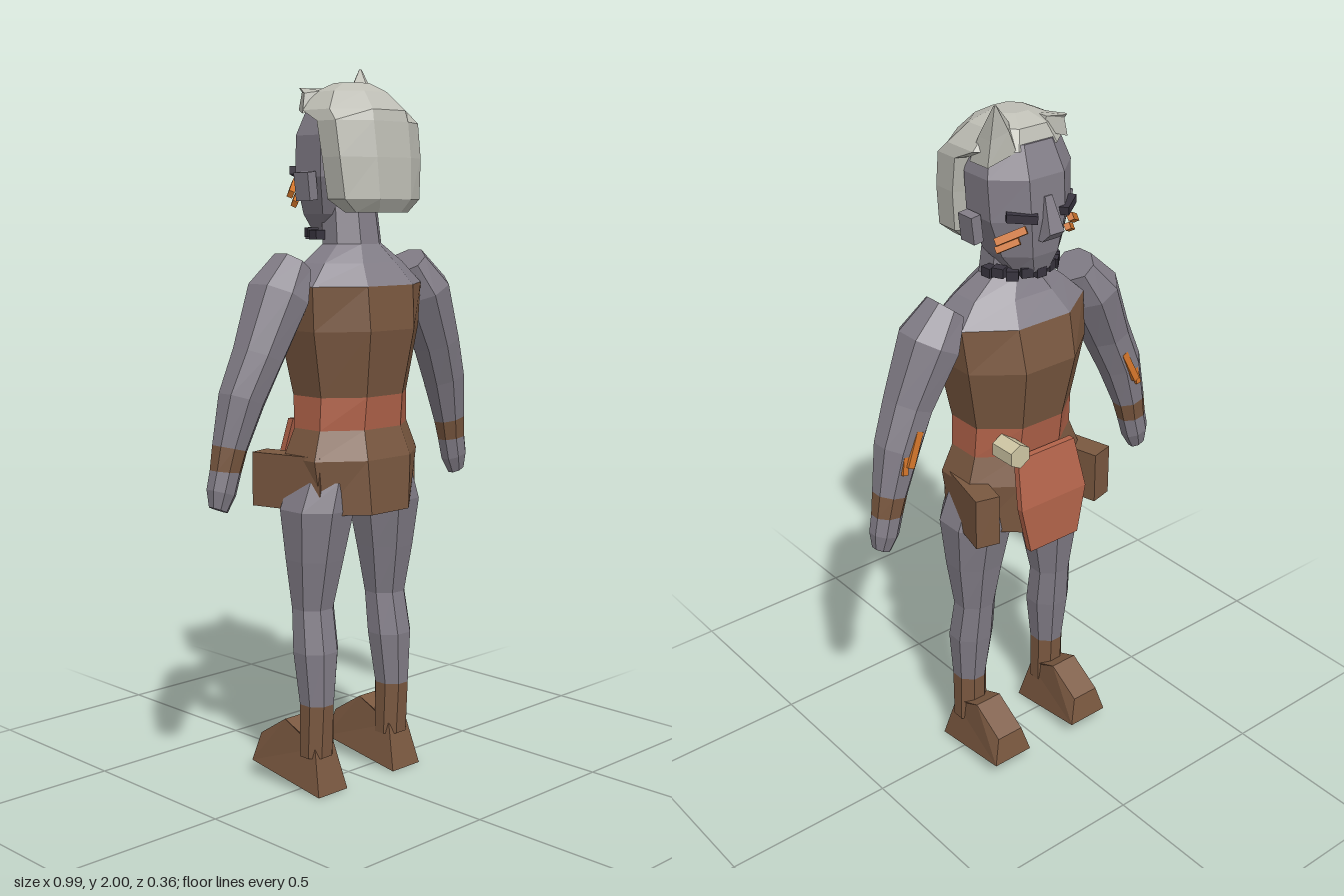
import * as THREE from 'three';

const mat = (name, color) => {
  const m = new THREE.MeshStandardMaterial({ color, flatShading: true });
  m.name = name;
  return m;
};

export function createModel() {
  const root = new THREE.Group();
  root.name = 'figure';
  const skin = mat('grey skin', 0x827d87);
  const hairMat = mat('pale hair', 0xbdbdb4);
  const brown = mat('brown leather', 0x7a5840);
  const rust = mat('rust cloth', 0xb2634a);
  const orange = mat('orange paint', 0xd0742a);
  const dark = mat('dark hair', 0x38343f);
  const cream = mat('cream', 0xcfc6a4);

  const add = (name, geo, material) => {
    const m = new THREE.Mesh(geo, material);
    m.name = name;
    root.add(m);
    return m;
  };

  // Skin a stack of rings, listed bottom to top: [x, y, z, rx, rz, tilt about z]
  const loft = (name, material, rings, n = 8) => {
    const pos = [], idx = [];
    for (const [x, y, z, rx, rz, t = 0] of rings) {
      for (let i = 0; i < n; i++) {
        const a = ((i + 0.5) / n) * Math.PI * 2, k = 1 / Math.cos(Math.PI / n);
        const px = rx * k * Math.cos(a);
        pos.push(x + px * Math.cos(t), y + px * Math.sin(t), z + rz * k * Math.sin(a));
      }
    }
    for (let r = 0; r < rings.length - 1; r++) {
      for (let i = 0; i < n; i++) {
        const j = (i + 1) % n, a = r * n + i, b = r * n + j;
        idx.push(a, a + n, b, b, a + n, b + n);
      }
    }
    const top = (rings.length - 1) * n;
    for (let i = 1; i < n - 1; i++) {
      idx.push(0, i, i + 1, top, top + i + 1, top + i);
    }
    const g = new THREE.BufferGeometry();
    g.setAttribute('position', new THREE.Float32BufferAttribute(pos, 3));
    g.setIndex(idx);
    g.computeVertexNormals();
    return add(name, g, material);
  };

  const box = (name, material, size, p, rot = [0, 0, 0]) => {
    const m = add(name, new THREE.BoxGeometry(...size), material);
    m.position.set(...p);
    m.rotation.set(...rot);
    return m;
  };

  // Torso: skirt, belt, jerkin, then bare shoulders and neck
  const hip = [0, 1.02, 0.012, 0.17, 0.122];
  const waist = [0, 1.11, 0.01, 0.167, 0.132];
  const chest = [0, 1.41, 0.018, 0.21, 0.145];
  loft('skirt', brown, [[0, 0.79, 0.012, 0.175, 0.153], [0, 0.94, 0.012, 0.2, 0.148], hip]);
  loft('belt', rust, [hip, waist]);
  loft('jerkin', brown, [waist, [0, 1.29, 0.008, 0.203, 0.163], chest]);
  loft('shouldersAndNeck', skin, [chest, [0, 1.47, 0.02, 0.15, 0.1],
    [0, 1.52, 0.015, 0.085, 0.07], [0, 1.62, 0.005, 0.08, 0.065]]);

  // Hanging cloth: a plate bent outwards over the hips
  const cloth = new THREE.BoxGeometry(1, 0.28, 0.02, 1, 2, 1);
  const cp = cloth.attributes.position;
  for (let i = 0; i < cp.count; i++) {
    const y = cp.getY(i);
    const [half, z] = y > 0.07 ? [0.2, -0.13] : y > -0.07 ? [0.23, -0.165] : [0.17, -0.168];
    cp.setXYZ(i, cp.getX(i) * half, y + 0.89, cp.getZ(i) + z);
  }
  cloth.computeVertexNormals();
  add('frontCloth', cloth, rust);

  // Belt toggle
  const toggle = add('beltToggle', new THREE.CylinderGeometry(0.036, 0.036, 0.08, 6), cream);
  toggle.rotation.x = Math.PI / 2;
  toggle.position.set(0.115, 1.06, -0.127);

  // Foot outline seen from the side: [z, y]
  const sole = [[0.09, 0], [-0.177, 0.045], [-0.162, 0.125], [-0.06, 0.19], [0, 0.165], [0.055, 0.13]];

  for (const s of [1, -1]) {
    const side = s > 0 ? 'left' : 'right';
    const S = (rings) => rings.map(([x, y, z, rx, rz, t = 0]) => [s * x, y, z, rx, rz, s * t]);

    // Leg and boot
    const ankle = [0.15, 0.25, 0.027, 0.046, 0.048];
    loft(side + 'Leg', skin, S([ankle, [0.147, 0.4, 0.02, 0.062, 0.06],
      [0.143, 0.52, 0.005, 0.058, 0.055], [0.138, 0.66, 0.008, 0.079, 0.08],
      [0.13, 0.8, 0.008, 0.098, 0.105], [0.11, 0.88, 0.01, 0.085, 0.1]]));
    loft(side + 'BootShaft', brown, S([[0.15, 0.1, 0.025, 0.048, 0.042], ankle]));
    const foot = new THREE.ExtrudeGeometry(
      new THREE.Shape(sole.map(([z, y]) => new THREE.Vector2(z, y))),
      { depth: 0.13, bevelEnabled: false });
    foot.translate(0, 0, -0.065).rotateY(-Math.PI / 2);
    const fp = foot.attributes.position;
    for (let i = 0; i < fp.count; i++) {
      // narrower towards the instep, with a slightly squeezed heel
      const w = (fp.getY(i) > 0.1 ? 0.66 : 1) * (fp.getZ(i) > 0.04 ? 0.85 : 1);
      fp.setX(i, s * 0.148 + fp.getX(i) * w);
    }
    foot.computeVertexNormals();
    add(side + 'Boot', foot, brown);

    // Hand, cuff and arm
    const cuffLow = [0.443, 0.935, -0.008, 0.042, 0.036, 0.15];
    const cuffTop = [0.43, 0.995, -0.006, 0.046, 0.043, 0.25];
    loft(side + 'Hand', skin, S([[0.468, 0.835, -0.01, 0.026, 0.022, 0.4],
      [0.457, 0.88, -0.01, 0.04, 0.034, 0.3], cuffLow]));
    loft(side + 'Cuff', brown, S([cuffLow, cuffTop]));
    loft(side + 'Arm', skin, S([cuffTop, [0.395, 1.12, 0.002, 0.06, 0.06, 0.35],
      [0.347, 1.23, 0.012, 0.064, 0.07, 0.4], [0.275, 1.385, 0.012, 0.077, 0.09, 0.48],
      [0.222, 1.468, 0.01, 0.048, 0.06, 0.68]]));
    box(side + 'ArmMark', orange, [0.02, 0.1, 0.015], [s * 0.382, 1.13, -0.057], [0.12, 0, s * 0.42]);
    box(side + 'ArmMarkSmall', orange, [0.016, 0.05, 0.015], [s * 0.412, 1.09, -0.053], [0.12, 0, s * 0.2]);

    // Hip pouch
    box(side + 'Pouch', brown, [0.07, 0.15, 0.22], [s * 0.18, 0.875, -0.035], [0, -s * 0.25, 0]);

    // Ears, brows and cheek paint
    box(side + 'Ear', skin, [0.03, 0.075, 0.055], [s * 0.15, 1.675, -0.01], [0, 0, -s * 0.12]);
    box(side + 'Brow', dark, [0.08, 0.022, 0.03], [s * 0.075, 1.715, -0.122], [0, -s * 0.6, s * 0.1]);
    box(side + 'CheekPaintUpper', orange, [0.016, 0.02, 0.085], [s * 0.103, 1.67, -0.113], [0.6, s * 0.8, 0]);
    box(side + 'CheekPaintLower', orange, [0.016, 0.018, 0.065], [s * 0.103, 1.64, -0.1], [0.6, s * 0.8, 0]);
  }

  // Head and nose
  loft('head', skin, [[0, 1.55, -0.05, 0.06, 0.062], [0, 1.6, -0.035, 0.1, 0.092],
    [0, 1.7, -0.02, 0.133, 0.118], [0, 1.81, -0.015, 0.137, 0.115], [0, 1.89, -0.005, 0.11, 0.09]]);
  loft('nose', skin, [[0, 1.645, -0.125, 0.028, 0.022], [0, 1.67, -0.145, 0.024, 0.027],
    [0, 1.76, -0.125, 0.012, 0.012]], 4);

  // Beard beads along the jaw
  for (let i = 0; i < 9; i++) {
    const a = ((i - 4) / 4) * 1.5;
    box('beardBead', dark, [0.032, 0.026, 0.03],
      [0.1 * Math.sin(a), 1.545 + (i % 2) * 0.006, -0.015 - 0.085 * Math.cos(a)], [0, -a, 0]);
  }

  // Hair: long at the back, capping the crown, with one raised and one folded tuft
  loft('hair', hairMat, [[0, 1.605, 0.11, 0.1, 0.05], [0, 1.64, 0.1, 0.143, 0.08],
    [0, 1.75, 0.092, 0.155, 0.082], [0, 1.845, 0.077, 0.158, 0.085],
    [0, 1.875, 0.03, 0.15, 0.125], [0, 1.925, 0.015, 0.105, 0.09], [0, 1.95, 0.015, 0.05, 0.045]]);
  loft('raisedTuft', hairMat, [[0.085, 1.865, -0.03, 0.058, 0.05, -0.4],
    [0.098, 1.925, -0.045, 0.036, 0.034, -0.4], [0.122, 2.0, -0.076, 0.003, 0.003]], 5);
  loft('foldedTuft', hairMat, [[-0.088, 1.885, -0.025, 0.05, 0.05, 0.3],
    [-0.085, 1.93, -0.04, 0.034, 0.034, 0.2], [-0.095, 1.938, -0.08, 0.008, 0.008]], 5);

  return root;
}
